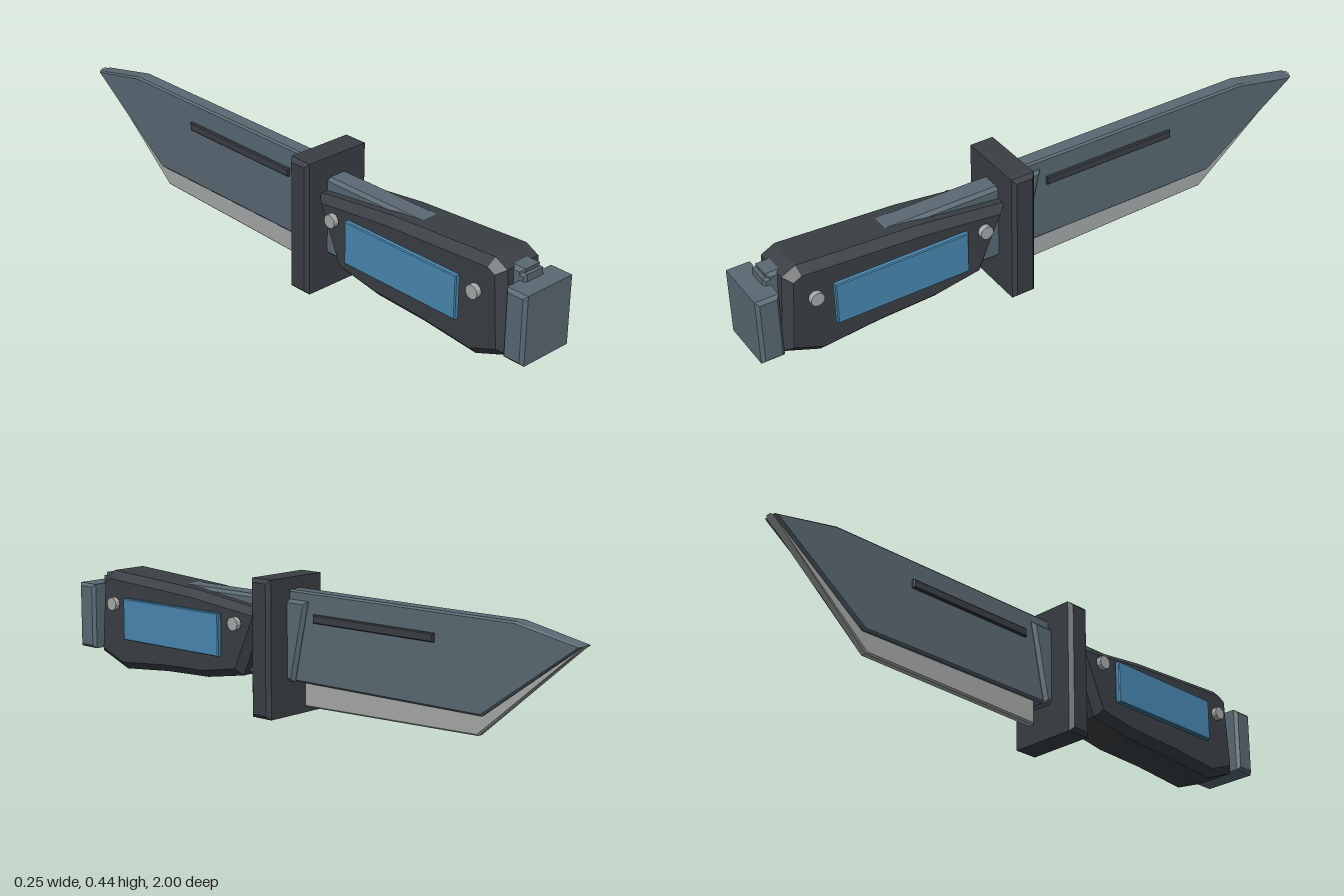
import * as THREE from 'three';

const mat = (color) => new THREE.MeshStandardMaterial({ color, flatShading: true });

// Bevelled plate: side profile as [z, y] points, given half width in x
function plate(name, points, half, bevel, material, bevelX = bevel) {
  const shape = new THREE.Shape(points.map(([z, y]) => new THREE.Vector2(-z, y)));
  const depth = 2 * (half - bevelX);
  const geo = new THREE.ExtrudeGeometry(shape, {
    depth, bevelEnabled: true, bevelSegments: 1,
    bevelSize: bevel, bevelOffset: -bevel, bevelThickness: bevelX,
  });
  geo.translate(0, 0, -depth / 2);
  geo.rotateY(Math.PI / 2);
  const mesh = new THREE.Mesh(geo, material);
  mesh.name = name;
  return mesh;
}

const rect = (z0, z1, y0, y1) => [[z1, y0], [z0, y0], [z0, y1], [z1, y1]];

// Box with all twelve edges chamfered: a rectangle with cut corners, bevelled
function chamferBox(name, z0, z1, y0, y1, half, c, material) {
  return plate(name, rect(z0, z1, y0, y1), half, c, material);
}

export function createModel() {
  const group = new THREE.Group();
  const steel = mat(0x5a6973);
  const dark = mat(0x3a3f44);
  const blue = mat(0x4887b0);
  const silver = mat(0xa6a9a9);

  // Blade and its cutting edge
  group.add(plate('blade',
    [[0.12, 0.113], [-0.66, 0.113], [-0.995, 0.357], [-0.775, 0.402], [0.12, 0.402]],
    0.027, 0.006, steel));
  group.add(plate('cuttingEdge',
    [[0.035, 0.035], [-0.64, 0.05], [-1, 0.36], [-0.7, 0.2], [0.035, 0.2]],
    0.014, 0.005, silver));
  group.add(chamferBox('fuller', -0.49, -0.02, 0.308, 0.335, 0.037, 0.003, dark));

  // Tang running through guard and grip
  group.add(plate('tang',
    [[0.9, 0.112], [0.06, 0.112], [0.005, 0.372], [0.935, 0.372]],
    0.04, 0.011, steel));

  group.add(chamferBox('guard', 0.083, 0.163, 0, 0.44, 0.125, 0.012, dark));

  // Grip with wide chamfers
  group.add(plate('grip',
    [[0.92, 0.107], [0.8, 0.06], [0.6, 0.078], [0.41, 0.085], [0.25, 0.112],
      [0.155, 0.33], [0.46, 0.367], [0.855, 0.39], [0.9, 0.367]],
    0.088, 0.025, dark));

  // Pommel and its collar
  group.add(chamferBox('pommelCollar', 0.9, 0.945, 0.12, 0.36, 0.04, 0.008, steel));
  group.add(chamferBox('pommel', 0.925, 1, 0.117, 0.337, 0.1, 0.01, steel));

  // Inlays and rivets on both sides
  for (const side of [1, -1]) {
    const inlay = chamferBox('inlay', 0.315, 0.76, 0.17, 0.31, 0.009, 0.003, blue);
    inlay.position.x = side * 0.106;
    group.add(inlay);
    for (const z of [0.25, 0.818]) {
      const geo = new THREE.CylinderGeometry(0.022, 0.022, 0.018, 12);
      geo.rotateZ(Math.PI / 2);
      const rivet = new THREE.Mesh(geo, silver);
      rivet.name = 'rivet';
      rivet.position.set(side * 0.106, 0.284, z);
      group.add(rivet);
    }
  }
  return group;
}
